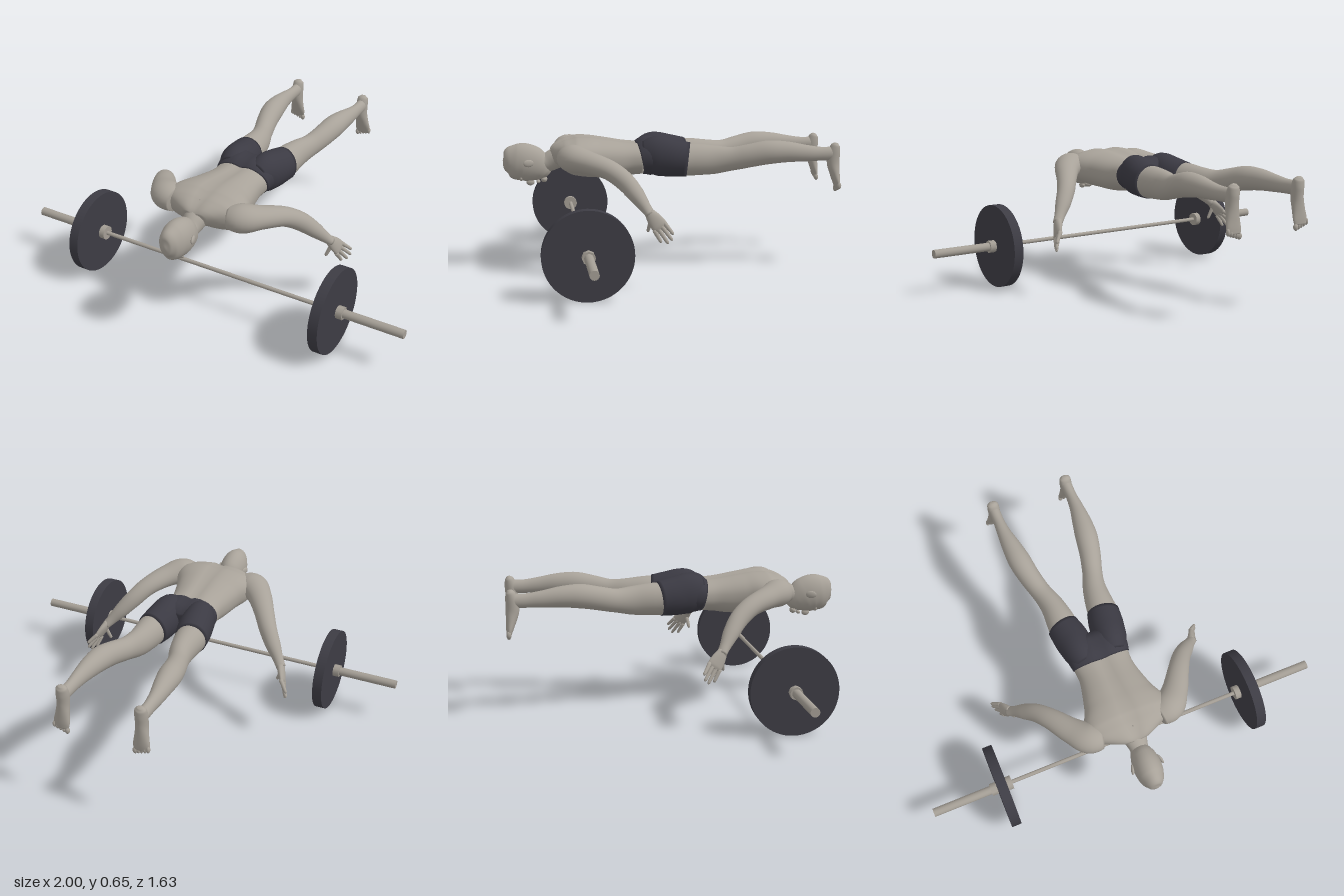
import * as THREE from 'three';

const material = (name, color) => {
  const m = new THREE.MeshStandardMaterial({ color });
  m.name = name;
  return m;
};
const UP = [0, 1, 0], FRONT = [0, 0, 1], SIDE = [1, 0, 0];

// Smooth closed skin through oval sections [x, y, z, halfWidth, halfDepth]
function loft(rows, { ref = UP, power = 1, sides = 28, steps = 5, shape } = {}) {
  const path = new THREE.CatmullRomCurve3(rows.map(r => new THREE.Vector3(r[0], r[1], r[2])));
  const size = new THREE.CatmullRomCurve3(rows.map(r => new THREE.Vector3(r[3], r[4], 0)));
  const up0 = new THREE.Vector3(...ref);
  const pos = [], index = [], n = (rows.length - 1) * steps;
  const soft = v => Math.sign(v) * Math.abs(v) ** power;
  for (let i = 0; i <= n; i++) {
    const c = path.getPoint(i / n), s = size.getPoint(i / n), t = path.getTangent(i / n);
    const side = new THREE.Vector3().crossVectors(up0, t).normalize();
    const up = new THREE.Vector3().crossVectors(t, side);
    for (let j = 0; j < sides; j++) {
      const a = j / sides * Math.PI * 2;
      const p = c.clone().addScaledVector(side, s.x * soft(Math.cos(a))).addScaledVector(up, s.y * soft(Math.sin(a)));
      if (shape) shape(p);
      pos.push(p.x, p.y, p.z);
      if (i < n) {
        const k = (j + 1) % sides, q = i * sides;
        index.push(q + j, q + k, q + sides + j, q + k, q + sides + k, q + sides + j);
      }
    }
  }
  // end caps
  const first = pos.length / 3, last = n * sides;
  for (const r of [rows[0], rows[rows.length - 1]]) pos.push(r[0], r[1], r[2]);
  for (let j = 0; j < sides; j++) {
    const k = (j + 1) % sides;
    index.push(first, k, j, first + 1, last + j, last + k);
  }
  const g = new THREE.BufferGeometry();
  g.setAttribute('position', new THREE.Float32BufferAttribute(pos, 3));
  g.setIndex(index);
  g.computeVertexNormals();
  return g;
}

export function createModel() {
  const skin = material('skin', 0xa8a299);
  const metal = material('metal', 0xa39d94);
  const rubber = material('plate rubber', 0x3d3c44);
  const cloth = material('shorts cloth', 0x3b3a43);
  const model = new THREE.Group();
  const person = new THREE.Group(), barbell = new THREE.Group();
  person.name = 'person';
  barbell.name = 'barbell';
  model.add(person, barbell);

  const add = (parent, name, geometry, mat) => {
    const m = new THREE.Mesh(geometry, mat);
    m.name = name;
    parent.add(m);
    return m;
  };
  const blob = (name, x, y, z, rx, ry, rz) => {
    const m = add(person, name, new THREE.SphereGeometry(1, 16, 12), skin);
    m.position.set(x, y, z);
    m.scale.set(rx, ry, rz);
    return m;
  };

  // Torso with a shallow groove along the spine
  add(person, 'torso', loft([
    [0, 0.555, 0.575, 0.06, 0.04], [0, 0.562, 0.55, 0.12, 0.058], [0, 0.565, 0.515, 0.19, 0.075],
    [0, 0.56, 0.47, 0.213, 0.093], [0, 0.555, 0.42, 0.2, 0.098], [0, 0.548, 0.36, 0.172, 0.098],
    [0, 0.54, 0.28, 0.15, 0.094], [0, 0.54, 0.2, 0.135, 0.083], [0, 0.54, 0.14, 0.138, 0.078]],
  { power: 0.85, sides: 48, shape: p => {
    if (p.y > 0.56) p.y -= 0.012 * Math.exp(-((p.x / 0.03) ** 2));
  } }), skin);
  add(person, 'neck', loft([
    [0, 0.535, 0.67, 0.044, 0.044], [0, 0.522, 0.61, 0.044, 0.046],
    [0, 0.545, 0.555, 0.06, 0.052], [0, 0.565, 0.5, 0.11, 0.065]]), skin);

  // Head facing the floor, crown forward
  add(person, 'head', loft([
    [0, 0.53, 0.814, 0.006, 0.008], [0, 0.53, 0.807, 0.028, 0.042], [0, 0.532, 0.785, 0.047, 0.073],
    [0, 0.53, 0.75, 0.061, 0.088], [0, 0.528, 0.71, 0.066, 0.092], [0, 0.514, 0.67, 0.063, 0.088],
    [0, 0.494, 0.635, 0.052, 0.07], [0, 0.474, 0.61, 0.037, 0.046], [0, 0.462, 0.598, 0.018, 0.02]]), skin);
  blob('nose', 0, 0.428, 0.683, 0.011, 0.016, 0.02);
  blob('brow', 0, 0.452, 0.728, 0.042, 0.016, 0.011);
  blob('mouth', 0, 0.431, 0.645, 0.022, 0.009, 0.01);
  blob('chin', 0, 0.442, 0.617, 0.024, 0.016, 0.016);

  // Hips of the shorts
  add(person, 'shortsHips', loft([
    [0, 0.54, 0.15, 0.142, 0.082], [0, 0.548, 0.11, 0.15, 0.095],
    [0, 0.55, 0.06, 0.152, 0.09], [0, 0.545, 0.02, 0.11, 0.06]],
  { power: 0.9, sides: 40, shape: p => {
    if (p.y > 0.56) p.y -= 0.012 * Math.exp(-((p.x / 0.025) ** 2));
  } }), cloth);

  for (const s of [1, -1]) {
    const label = s > 0 ? 'left' : 'right';
    const limb = (name, rows, mat, options) =>
      add(person, label + name, loft(rows.map(([x, ...r]) => [x * s, ...r]), options), mat);

    const ear = blob(label + 'Ear', s * 0.069, 0.53, 0.692, 0.008, 0.018, 0.026);
    ear.rotation.y = s * 0.3;

    // Legs
    limb('ShortsLeg', [
      [0.072, 0.548, 0.13, 0.062, 0.08], [0.082, 0.556, 0.07, 0.078, 0.098],
      [0.09, 0.547, 0, 0.084, 0.094], [0.104, 0.538, -0.08, 0.078, 0.084]], cloth);
    limb('Leg', [
      [0.103, 0.538, -0.05, 0.074, 0.08], [0.104, 0.538, -0.12, 0.069, 0.078],
      [0.113, 0.536, -0.21, 0.057, 0.07], [0.138, 0.543, -0.3, 0.049, 0.057],
      [0.16, 0.56, -0.38, 0.052, 0.057], [0.175, 0.575, -0.46, 0.055, 0.058],
      [0.185, 0.577, -0.55, 0.047, 0.051], [0.192, 0.57, -0.64, 0.034, 0.041],
      [0.193, 0.565, -0.72, 0.027, 0.034], [0.193, 0.565, -0.785, 0.028, 0.034]], skin);
    limb('Foot', [
      [0.193, 0.617, -0.796, 0.012, 0.009], [0.193, 0.604, -0.792, 0.027, 0.022],
      [0.193, 0.565, -0.784, 0.03, 0.031], [0.194, 0.52, -0.782, 0.029, 0.031],
      [0.196, 0.47, -0.79, 0.034, 0.024], [0.198, 0.425, -0.799, 0.04, 0.016],
      [0.198, 0.4, -0.803, 0.036, 0.011]], skin, { ref: FRONT });
    for (let i = 0; i < 5; i++)
      blob(label + 'Toe' + (i + 1), s * (0.169 + i * 0.016), 0.391 + i * 0.005, -0.803,
        i ? 0.0085 : 0.012, 0.017, 0.011);

    // Arms
    limb('Arm', [
      [0.14, 0.565, 0.5, 0.06, 0.055], [0.2, 0.568, 0.485, 0.074, 0.066],
      [0.258, 0.558, 0.425, 0.062, 0.054], [0.325, 0.528, 0.325, 0.05, 0.046],
      [0.373, 0.48, 0.258, 0.044, 0.045], [0.42, 0.425, 0.212, 0.038, 0.038],
      [0.463, 0.374, 0.176, 0.026, 0.026], [0.488, 0.345, 0.155, 0.024, 0.02]], skin);

    // Hands with spread fingers
    limb('Palm', [
      [0.48, 0.356, 0.163, 0.023, 0.02], [0.497, 0.325, 0.14, 0.034, 0.017],
      [0.511, 0.298, 0.12, 0.037, 0.013], [0.516, 0.286, 0.112, 0.028, 0.008]], skin, { ref: SIDE });
    const tips = [[0.552, 0.266, 0.062], [0.552, 0.238, 0.066], [0.542, 0.221, 0.083], [0.526, 0.224, 0.113]];
    const finger = (name, a, b) => {
      const at = t => a.map((v, k) => v + (b[k] - v) * t);
      limb(name, [[...at(0), 0.011, 0.011], [...at(0.5), 0.009, 0.009],
        [...at(0.9), 0.0075, 0.0075], [...at(1), 0.003, 0.003]], skin, { ref: SIDE, sides: 10, steps: 3 });
    };
    tips.forEach((tip, i) => {
      const o = 0.028 - i * 0.0187;
      finger('Finger' + (i + 1), [0.51, 0.295 + 0.57 * o, 0.12 - 0.82 * o], tip);
    });
    finger('Thumb', [0.49, 0.325, 0.155], [0.466, 0.263, 0.168]);
  }

  // Barbell pieces: centre x, length, radius, sides
  const rod = (name, x, length, r, mat, sides = 32) => {
    const m = add(barbell, name, new THREE.CylinderGeometry(r, r, length, sides), mat);
    m.rotation.z = Math.PI / 2;
    m.position.x = x;
  };
  barbell.position.set(0, 0.205, 0.455);
  rod('bar', 0, 1.24, 0.01, metal);
  for (const s of [1, -1]) {
    rod('sleeve', s * 0.81, 0.38, 0.021, metal);
    rod('innerCollar', s * 0.612, 0.03, 0.034, metal);
    rod('plate', s * 0.65, 0.048, 0.205, rubber, 64);
    rod('outerCollar', s * 0.69, 0.032, 0.031, metal, 8);
  }
  return model;
}
